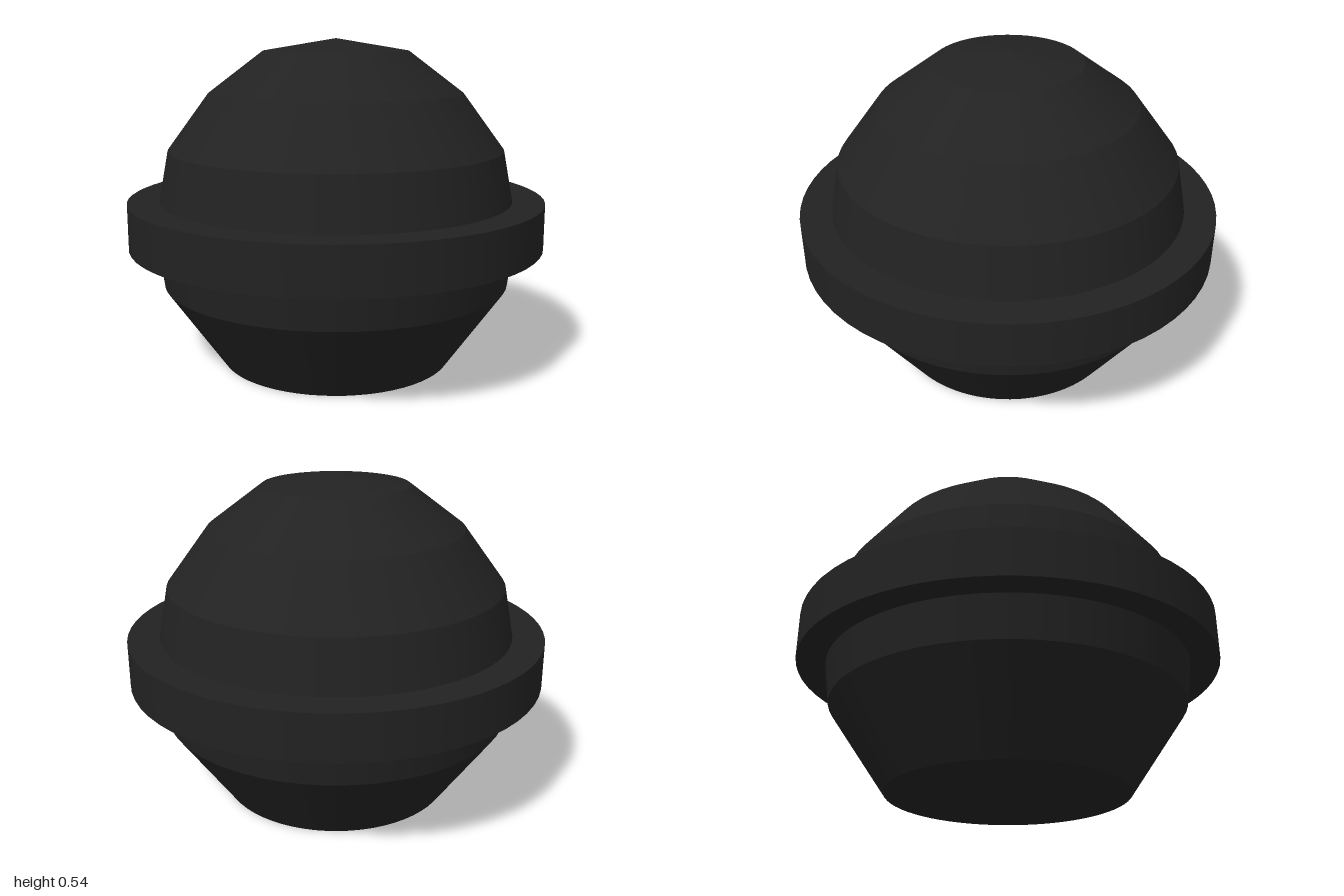
import * as THREE from 'three';
import { mergeGeometries } from 'three/addons/utils/BufferGeometryUtils.js';

const SEGMENTS = 64;

// Revolved shell made of separate bands: smooth around, crisp between bands
function bandedShell(profile) {
  const bands = [];
  for (let i = 0; i < profile.length - 1; i++) {
    const [r0, y0] = profile[i];
    const [r1, y1] = profile[i + 1];
    const band = new THREE.CylinderGeometry(r1, r0, y1 - y0, SEGMENTS, 1, true);
    band.translate(0, (y0 + y1) / 2, 0);
    bands.push(band);
  }
  return mergeGeometries(bands);
}

export function createModel() {
  const group = new THREE.Group();
  const black = new THREE.MeshStandardMaterial({ color: 0x222222 });
  black.name = 'matte black';

  function add(name, geometry) {
    const mesh = new THREE.Mesh(geometry, black);
    mesh.name = name;
    group.add(mesh);
    return mesh;
  }

  // Rounded body, open at the base, from bottom to crown [radius, height]
  add('body', bandedShell([
    [0.195, 1.46], [0.29, 1.597], [0.303, 1.69], [0.278, 1.82],
    [0.21, 1.912], [0.12, 1.98], [0, 2],
  ]));

  // Flat underside
  const base = add('base', new THREE.CircleGeometry(0.195, SEGMENTS));
  base.rotation.x = Math.PI / 2;
  base.position.y = 1.46;

  // Flat band around the middle
  const ring = add('ring', new THREE.CylinderGeometry(0.346, 0.346, 0.075, SEGMENTS));
  ring.position.y = 1.7;

  return group;
}
